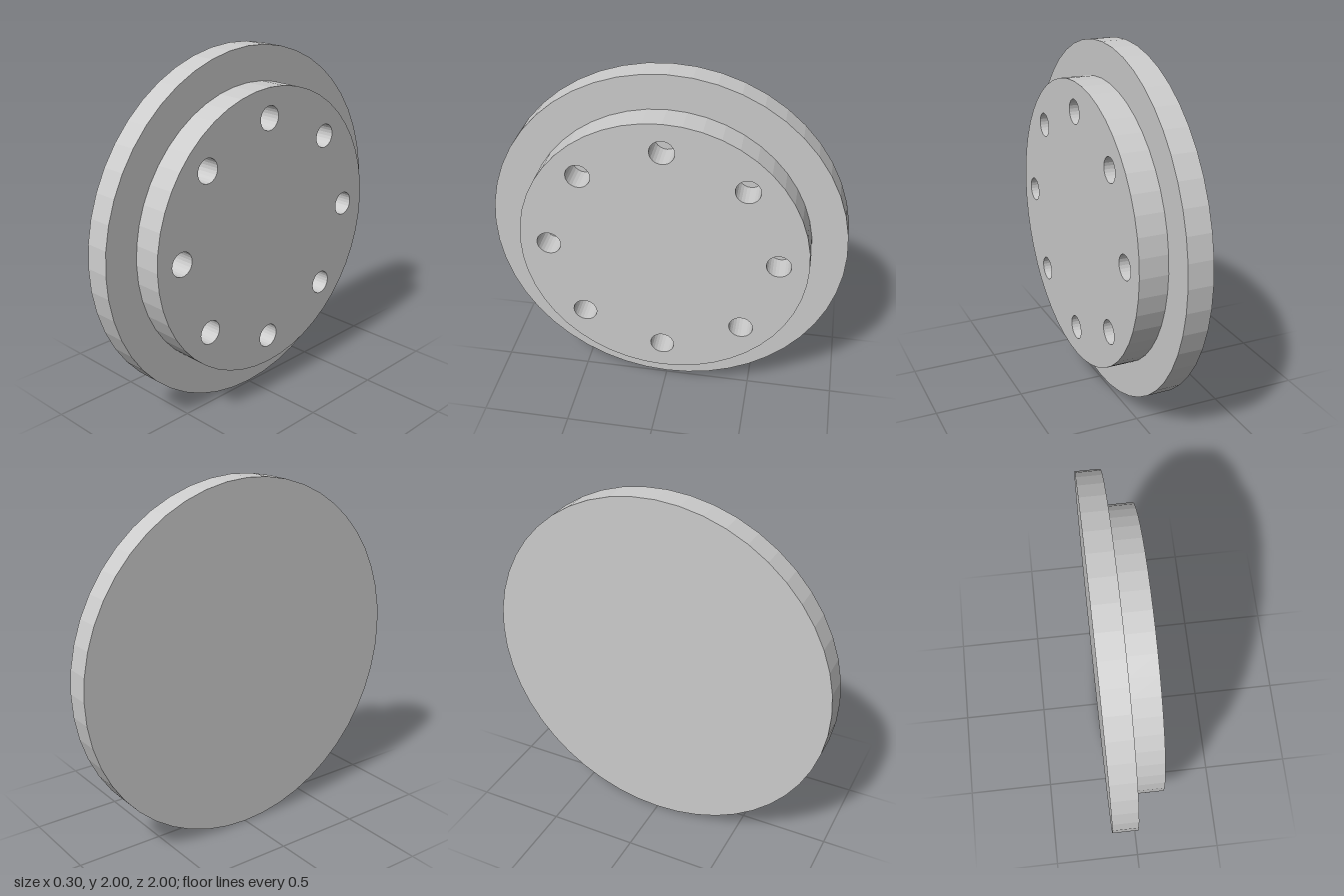
import * as THREE from 'three';

const SIDES = 48, HOLE_SIDES = 24;
const FLANGE_R = 1, BOSS_R = 0.805, HOLE_R = 0.068, HOLE_RING = 0.64;
const BACK = -0.15, STEP = -0.01, FACE = 0.15;

// Points of a regular polygon approximating a circle
function circle(radius, sides, cx = 0, cy = 0) {
  return Array.from({ length: sides }, (_, i) => {
    const a = (i / sides) * Math.PI * 2;
    return new THREE.Vector2(cx + radius * Math.cos(a), cy + radius * Math.sin(a));
  });
}

// Extrudes a shape along x, from x0 to x1, centred at y = 1
function plate(name, shape, x0, x1, material) {
  const geometry = new THREE.ExtrudeGeometry(shape, { depth: x1 - x0, bevelEnabled: false });
  geometry.rotateY(Math.PI / 2);
  geometry.translate(x0, 1, 0);
  const mesh = new THREE.Mesh(geometry, material);
  mesh.name = name;
  return mesh;
}

export function createModel() {
  const group = new THREE.Group();
  group.name = 'blindFlange';
  const material = new THREE.MeshStandardMaterial({ color: 0xcccccc, flatShading: true });

  // Solid outer disc
  const disc = new THREE.Shape(circle(FLANGE_R, SIDES));
  group.add(plate('flangeDisc', disc, BACK, STEP, material));

  // Raised boss with a ring of eight blind holes
  const boss = new THREE.Shape(circle(BOSS_R, SIDES));
  for (let i = 0; i < 8; i++) {
    const a = (i * Math.PI) / 4;
    boss.holes.push(new THREE.Path(
      circle(HOLE_R, HOLE_SIDES, HOLE_RING * Math.cos(a), HOLE_RING * Math.sin(a))));
  }
  group.add(plate('raisedBoss', boss, STEP, FACE, material));

  return group;
}
